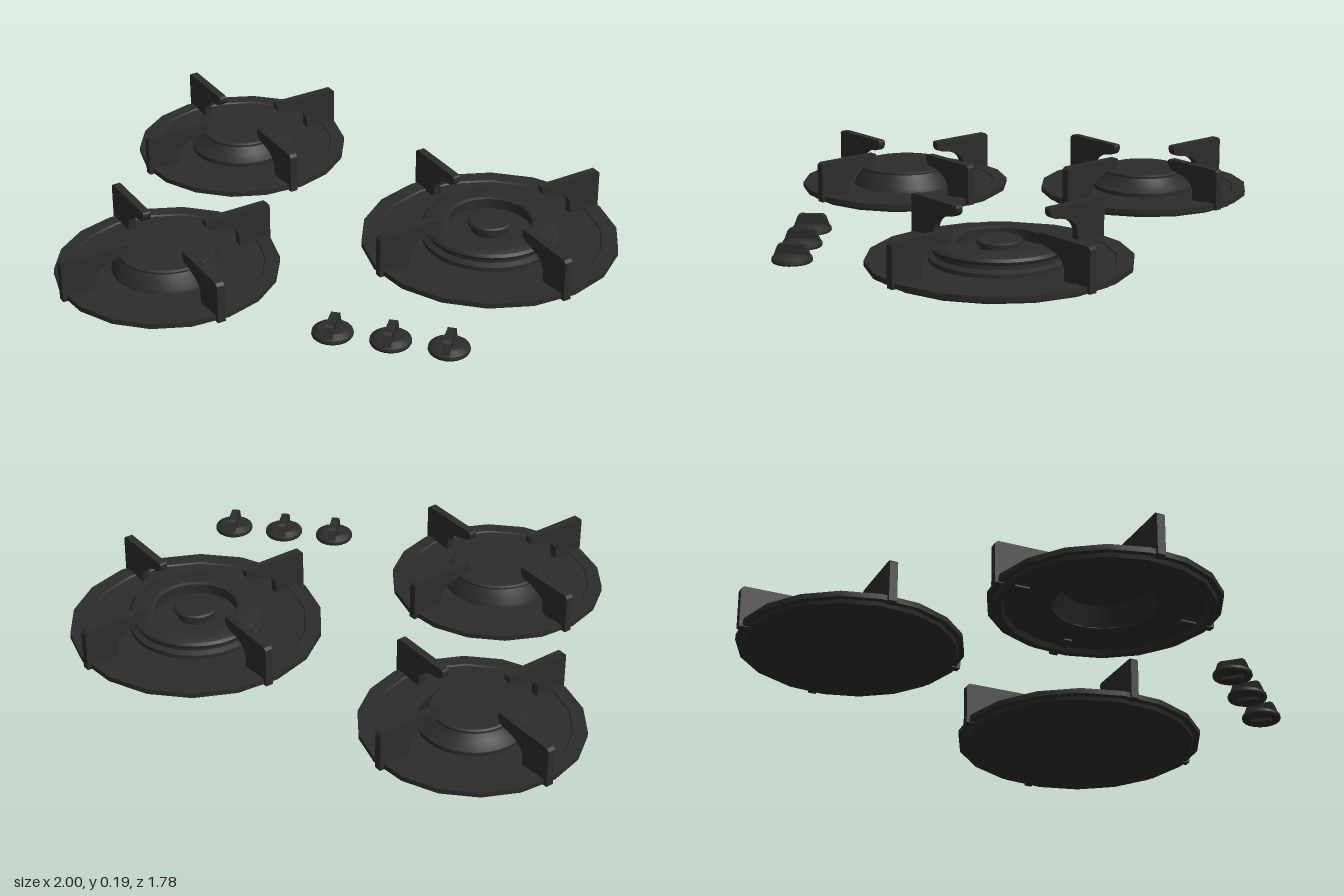
import * as THREE from 'three';
import { toCreasedNormals } from 'three/addons/utils/BufferGeometryUtils.js';

const castIron = new THREE.MeshStandardMaterial({ color: 0x2c2c2c });
castIron.name = 'cast iron black';

function part(name, geometry) {
  const m = new THREE.Mesh(geometry, castIron);
  m.name = name;
  return m;
}

// Turned part: profile runs from the underside outwards, up and back in
function turned(name, profile, sides) {
  const pts = profile.map(([r, y]) => new THREE.Vector2(r, y));
  const lathe = new THREE.LatheGeometry(pts, sides, Math.PI / 2);
  return part(name, toCreasedNormals(lathe, 0.45));
}

// Drip plate with a thin rim over a smaller foot ring
function plate(r, hole) {
  const underside = hole ? [[hole, 0.038], [hole, 0.028], [r * 0.86, 0.028]] : [[0, 0.016], [r * 0.86, 0.016]];
  return turned('dripPlate', [
    ...underside,
    [r * 0.88, 0.01], [r * 0.94, 0.01], [r * 0.95, 0.025], [r, 0.025], [r, 0.045],
    [r * 0.875, 0.045], [r * 0.865, 0.04], [hole, 0.038],
  ], 18);
}

// Upright pan support: a broad leg with a hooked arm towards the centre
function panSupport(inner, outer, top) {
  const leg = outer - 0.13;
  const s = new THREE.Shape();
  s.moveTo(leg, 0.022);
  s.lineTo(outer, 0.022);
  s.lineTo(outer, top - 0.01);
  s.lineTo(outer - 0.01, top);
  s.lineTo(inner + 0.008, top);
  s.quadraticCurveTo(inner, top, inner, top - 0.012);
  s.quadraticCurveTo(inner, top - 0.035, inner + 0.025, top - 0.043);
  s.bezierCurveTo(leg - 0.04, top - 0.05, leg, top - 0.075, leg, 0.07);
  s.closePath();
  const g = new THREE.ExtrudeGeometry(s, { depth: 0.03, bevelEnabled: false, curveSegments: 8 });
  g.translate(0, 0, -0.015);
  return part('panSupport', toCreasedNormals(g, 0.5));
}

function burner(name, x, z, { radius, hole = 0, inner, outer, top }) {
  const g = new THREE.Group();
  g.name = name;
  g.position.set(x, 0, z);
  g.add(plate(radius, hole));
  for (let i = 0; i < 4; i++) {
    const s = panSupport(inner, outer, top);
    s.rotation.y = Math.PI / 4 + i * Math.PI / 2;
    g.add(s);
  }
  return g;
}

// Fluted dial with an upright grip along z
function knob(x) {
  const g = new THREE.Group();
  g.name = 'knob';
  g.position.set(x, 0, 0.745);
  g.add(turned('knobDial', [[0, 0.012], [0.072, 0.012], [0.075, 0.018], [0.073, 0.028], [0.05, 0.042], [0, 0.045]], 20));
  const s = new THREE.Shape([
    [-0.035, 0], [0.035, 0], [0.04, 0.014], [0.07, 0.022], [0.052, 0.07], [0.042, 0.077], [-0.042, 0.077],
    [-0.052, 0.07], [-0.07, 0.022], [-0.04, 0.014],
  ].map(([a, b]) => new THREE.Vector2(a, b)));
  const grip = new THREE.ExtrudeGeometry(s, { depth: 0.03, bevelEnabled: false });
  grip.translate(0, 0, -0.015).rotateY(Math.PI / 2);
  g.add(part('knobGrip', grip));
  return g;
}

export function createModel() {
  const model = new THREE.Group();
  model.name = 'gasHob';
  const small = { radius: 0.412, inner: 0.155, outer: 0.422, top: 0.18 };

  // Front small burner, hollow from below
  const front = burner('frontBurner', -0.59, 0.48, { ...small, hole: 0.185 });
  front.add(turned('burnerHead', [
    [0, 0.1], [0.15, 0.1], [0.185, 0.028], [0.205, 0.036], [0.2, 0.052], [0.165, 0.104],
    [0.18, 0.106], [0.18, 0.112], [0.172, 0.117], [0, 0.117],
  ], 32));
  model.add(front);

  // Back small burner with a narrower cap
  const back = burner('backBurner', -0.59, -0.485, small);
  back.add(turned('burnerHead', [
    [0.2, 0.036], [0.2, 0.055], [0.165, 0.075], [0.145, 0.102],
    [0.155, 0.104], [0.155, 0.112], [0.148, 0.117], [0, 0.117],
  ], 32));
  model.add(back);

  // Large burner: flame ring around a sunken centre cap
  const large = burner('largeBurner', 0.515, 0, { radius: 0.482, inner: 0.225, outer: 0.49, top: 0.187 });
  large.add(turned('flameRing', [
    [0.255, 0.036], [0.255, 0.055], [0.235, 0.065], [0.235, 0.08], [0.25, 0.086], [0.254, 0.096],
    [0.246, 0.106], [0.225, 0.115], [0.165, 0.115], [0.155, 0.11], [0.155, 0.07], [0, 0.07],
  ], 32));
  large.add(turned('centreCap', [[0.07, 0.068], [0.07, 0.098], [0.084, 0.1], [0.084, 0.11], [0.077, 0.115], [0, 0.115]], 24));
  model.add(large);

  for (const x of [0.1, 0.308, 0.515]) model.add(knob(x));
  return model;
}
